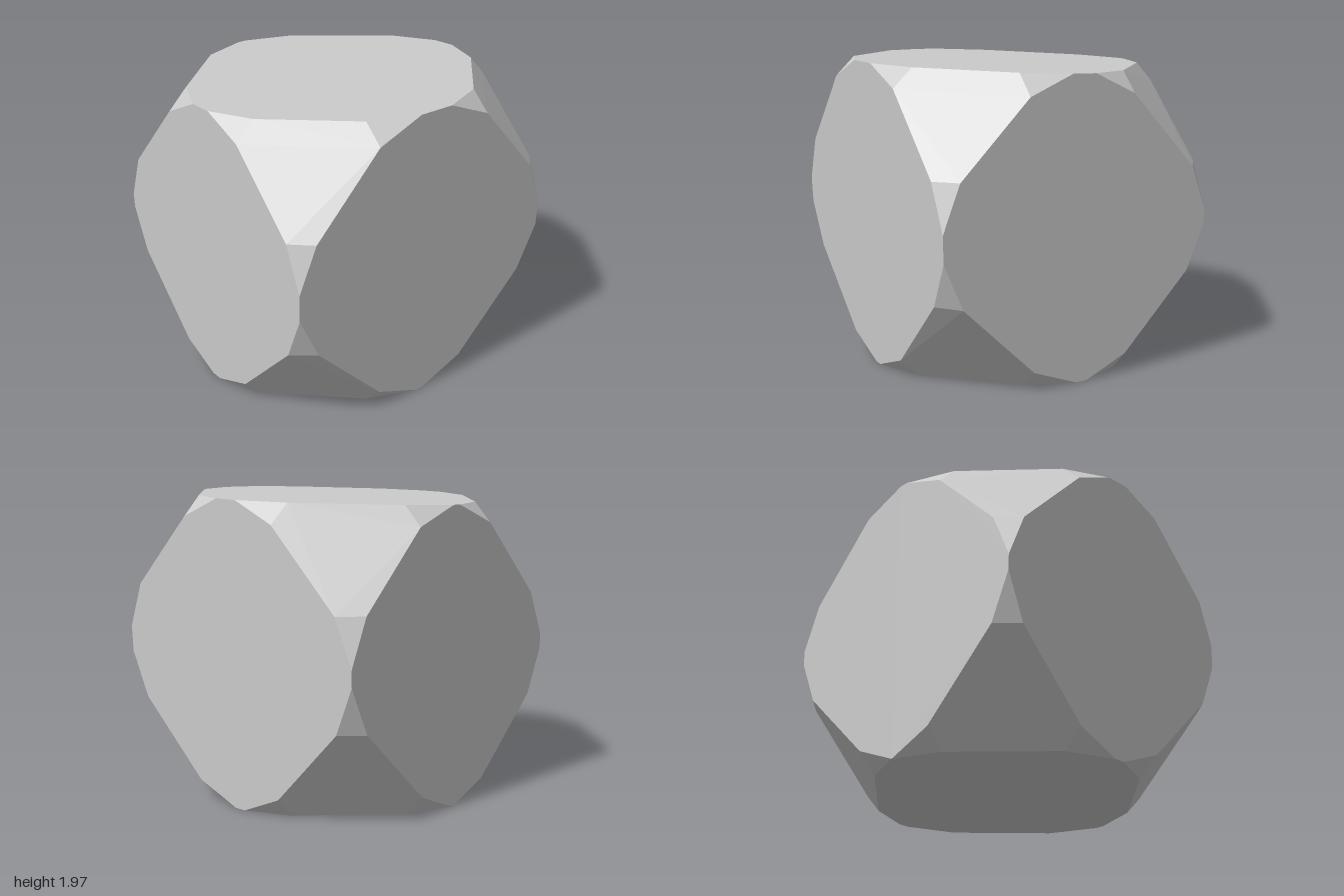
import * as THREE from 'three';
import { ConvexGeometry } from 'three/addons/geometries/ConvexGeometry.js';

// The six slightly tilted planes of the block; bottom and back are square.
const BACK = -0.98;
const topY = (z) => 1.93 + 0.0357 * z;
const frontZ = (y) => 0.917 + 0.0321 * y;
const sideX = (y, z) => 0.971 + 0.025 * (y - 0.965) + 0.027 * z;

// Half outlines of the large panels (the other half is mirrored in x)
const front = [[0.12, 1.965], [0.43, 1.84], [0.88, 1.36], [0.85, 0.61], [0.35, 0.125], [0.03, 0]]; // x, y
const back = [[0.03, 1.895], [0.345, 1.775], [0.82, 1.295], [0.81, 0.605], [0.3, 0.125], [0, 0]]; // x, y
const top = [[0.43, 0.85], [0.88, 0.38], [0.85, -0.38], [0.345, -0.86]]; // x, z
const bottom = [[0.345, 0.79], [0.82, 0.315], [0.82, -0.375], [0.3, -0.855]]; // x, z
const side = [ // z, y
  [0.38, 1.815], [0.84, 1.36], [0.815, 0.605], [0.315, 0.125],
  [-0.375, 0.125], [-0.855, 0.605], [-0.86, 1.295], [-0.375, 1.79],
];

export function createModel() {
  const points = [];
  const add = (x, y, z) => {
    points.push(new THREE.Vector3(x, y, z));
    if (x > 0) points.push(new THREE.Vector3(-x, y, z));
  };
  const addSide = (y, z) => add(sideX(y, z), y, z);

  // Panel corners
  front.forEach(([x, y]) => add(x, y, frontZ(y)));
  back.forEach(([x, y]) => add(x, y, BACK));
  top.forEach(([x, z]) => add(x, topY(z), z));
  bottom.forEach(([x, z]) => add(x, 0, z));
  side.forEach(([z, y]) => addSide(y, z));

  // Short edges where the side panels meet their neighbours
  [0.085, -0.08].forEach((z) => addSide(topY(z), z));
  [0, -0.08].forEach((z) => addSide(0, z));
  [1.07, 0.9].forEach((y) => addSide(y, frontZ(y)));
  [1.0, 0.9].forEach((y) => addSide(y, BACK));

  // Corner facets and small chamfers close up as the hull of the panels
  const body = new THREE.Mesh(
    new ConvexGeometry(points),
    new THREE.MeshStandardMaterial({ color: 0xcccccc, flatShading: true })
  );
  body.name = 'facetedCube';

  const group = new THREE.Group();
  group.name = 'cutCornerBlock';
  group.add(body);
  return group;
}
